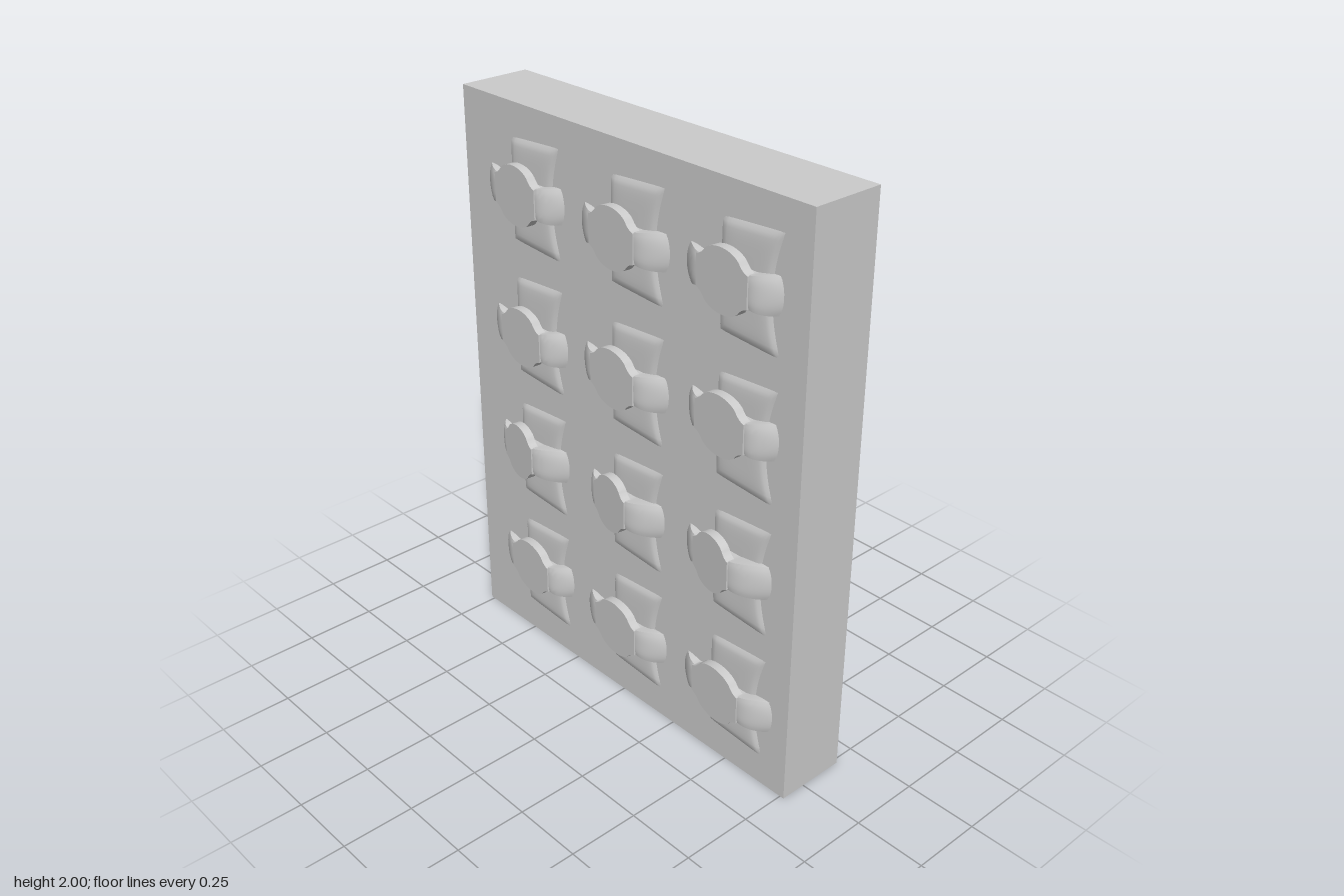
import * as THREE from 'three';
import { toCreasedNormals } from 'three/addons/utils/BufferGeometryUtils.js';

const FACE = 0.093; // front plane of the board
const material = new THREE.MeshStandardMaterial({ color: 0xcccccc, side: THREE.DoubleSide });

function add(parent, name, geometry) {
  const mesh = new THREE.Mesh(geometry, material);
  mesh.name = name;
  parent.add(mesh);
  return mesh;
}

// Surface from a rule: point(u, v) with u, v in 0..1
function surface(nu, nv, point) {
  const g = new THREE.PlaneGeometry(1, 1, nu, nv);
  const p = g.attributes.position;
  for (let i = 0; i < p.count; i++) p.setXYZ(i, ...point(p.getX(i) + 0.5, p.getY(i) + 0.5));
  g.computeVertexNormals();
  return g;
}

// Shallow cushion, pinched on the right side and sunk into the board on the left
function cushionGeometry() {
  return surface(16, 24, (u, v) => {
    const s = 2 * v - 1;
    const right = 0.145 + 0.04 * s * s;
    const x = THREE.MathUtils.lerp(-0.06, right, u);
    const y = s * (0.176 + 0.016 * u);
    const edge = Math.pow(Math.max(0, 1 - s ** 8), 0.5);
    const rise = Math.pow(Math.max(0, 1 - Math.abs(2 * u - 1) ** 5), 0.5);
    return [x, y, FACE - 0.002 + 0.013 * edge * rise];
  });
}

// Arched strap running from x0 to x1 over the cushion, straight beneath the case
function strapGeometry(x0, x1, cx, r, discZ) {
  const a = cx - r, b = cx + r;
  const height = (x) => {
    const t = x < a ? (x - x0) / (a - x0) : x > b ? (x1 - x) / (x1 - b) : 1;
    const top = discZ(THREE.MathUtils.clamp(x, a, b)) - 0.004;
    return [FACE - 0.004 + (top - FACE + 0.004) * Math.sin(t * Math.PI / 2), t];
  };
  const g = surface(40, 12, (u, v) => {
    const x = THREE.MathUtils.lerp(x0, x1, u);
    const [z, t] = height(x);
    const half = 0.051 + 0.009 * Math.sin(Math.PI * Math.min(1, 0.3 + 0.7 * t));
    // side walls at the first and last step, gently crowned top between
    if (v < 0.01 || v > 0.99) return [x, Math.sign(v - 0.5) * half, FACE - 0.005];
    const s = (v - 0.5) / (0.5 - 1 / 12);
    const bow = 0.012 * (1 - t) * s * s * (u < 0.5 ? 1 : -1);
    return [x + bow, s * half, Math.max(FACE - 0.005, z - 0.004 * s ** 4)];
  });
  return toCreasedNormals(g, 0.7);
}

// Round case with short shoulders toward the strap
function caseGeometry(r, h) {
  const shape = new THREE.Shape();
  const lug = 0.05;
  shape.moveTo(r, -lug);
  shape.lineTo(r, lug);
  shape.quadraticCurveTo(r * 0.8, lug + 0.005, r * 0.66, h * 0.77);
  shape.bezierCurveTo(r * 0.35, h * 1.08, -r * 0.35, h * 1.08, -r * 0.66, h * 0.77);
  shape.quadraticCurveTo(-r * 0.8, lug + 0.005, -r, lug);
  shape.lineTo(-r, -lug);
  shape.quadraticCurveTo(-r * 0.8, -lug - 0.005, -r * 0.66, -h * 0.77);
  shape.bezierCurveTo(-r * 0.35, -h * 1.08, r * 0.35, -h * 1.08, r * 0.66, -h * 0.77);
  shape.quadraticCurveTo(r * 0.8, -lug - 0.005, r, -lug);
  const depth = 0.03;
  const g = new THREE.ExtrudeGeometry(shape, { depth, bevelEnabled: false, curveSegments: 12 });
  g.translate(0, 0, -depth);
  return toCreasedNormals(g, 0.6);
}

function watch({ x0, x1, cx, cy, r = 0.11, h = 0.1, z = 0.137, slope = 0.08 }) {
  const group = new THREE.Group();
  group.name = 'watch';
  const discZ = (x) => z + (x - cx) * slope;
  add(group, 'strap', strapGeometry(x0, x1, cx, r, discZ));
  const face = add(group, 'watchCase', caseGeometry(r, h));
  face.position.set(cx, 0, z);
  face.rotation.y = -Math.atan(slope);
  group.position.y = cy;
  return group;
}

export function createModel() {
  const model = new THREE.Group();
  model.name = 'watchDisplay';

  const board = add(model, 'board', new THREE.BoxGeometry(1.53, 2, 0.256));
  board.position.set(0, 1, FACE - 0.128);

  // Cushions in a grid of three by four
  const cushion = cushionGeometry();
  for (const y of [1.712, 1.234, 0.765, 0.297])
    for (const x of [-0.465, 0.013, 0.483])
      add(model, 'cushion', cushion).position.set(x, y, 0);

  // Watches: strap ends, case centre and height, row by row
  const tilted = { r: 0.09, z: 0.143, slope: 0.16 };
  const watches = [
    { x0: -0.65, x1: -0.26, cx: -0.46, cy: 1.712 },
    { x0: -0.187, x1: 0.22, cx: 0, cy: 1.702 },
    { x0: 0.28, x1: 0.672, cx: 0.468, cy: 1.712 },
    { x0: -0.65, x1: -0.26, cx: -0.46, cy: 1.216 },
    { x0: -0.187, x1: 0.22, cx: 0, cy: 1.234, z: 0.14 },
    { x0: 0.298, x1: 0.678, cx: 0.475, cy: 1.258, z: 0.14 },
    { x0: -0.637, x1: -0.268, cx: -0.49, cy: 0.773, ...tilted },
    { x0: -0.163, x1: 0.206, cx: -0.015, cy: 0.773, ...tilted },
    { x0: 0.298, x1: 0.677, cx: 0.455, cy: 0.773, ...tilted },
    { x0: -0.65, x1: -0.26, cx: -0.46, cy: 0.305 },
    { x0: -0.187, x1: 0.22, cx: 0, cy: 0.28 },
    { x0: 0.298, x1: 0.705, cx: 0.482, cy: 0.28 },
  ];
  for (const w of watches) model.add(watch(w));

  model.position.z = 0;
  return model;
}
